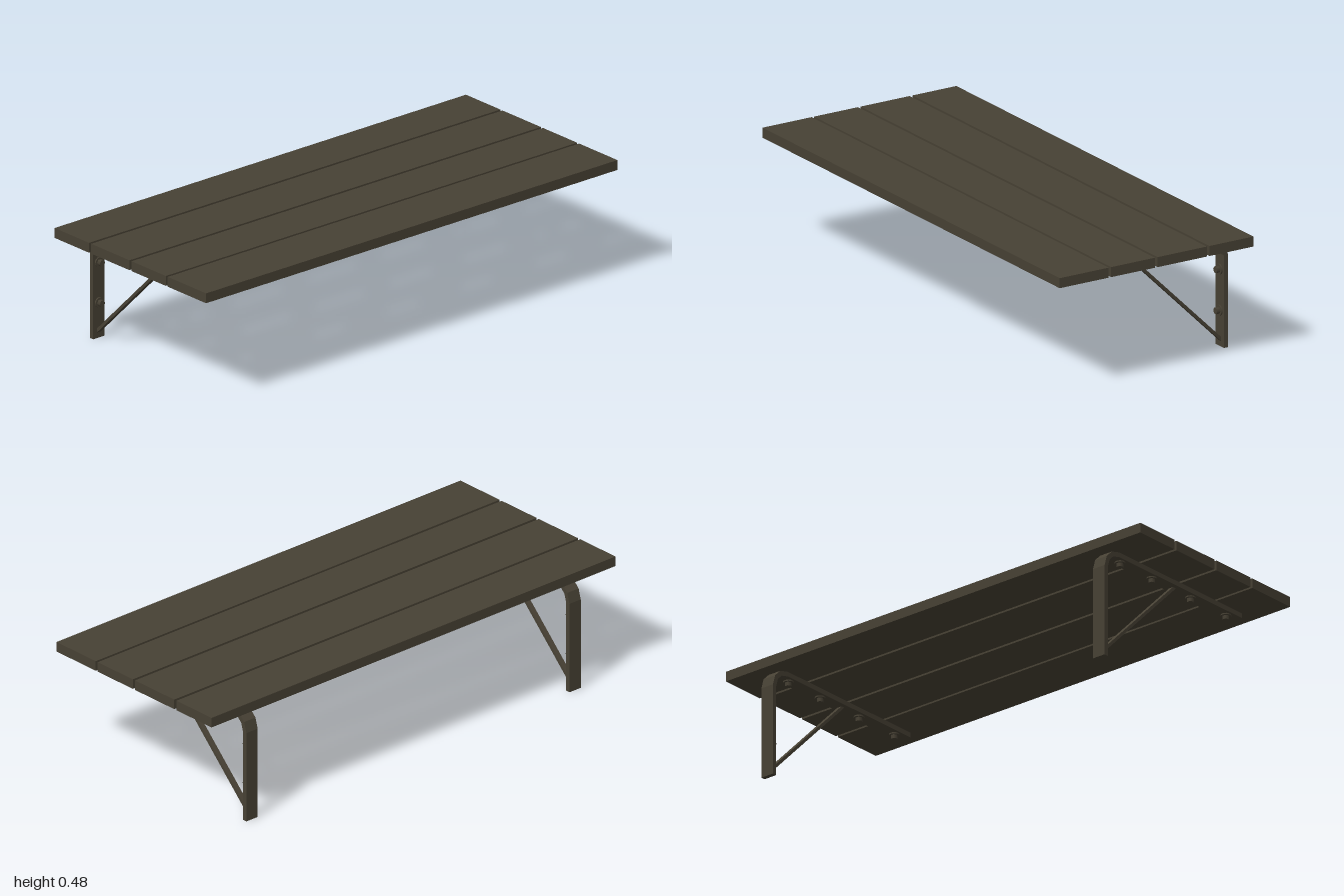
import * as THREE from 'three';

const wood = new THREE.MeshStandardMaterial({ color: 0x474134 });
wood.name = 'dark olive brown';

function add(parent, name, geometry, x = 0, y = 0, z = 0) {
  const mesh = new THREE.Mesh(geometry, wood);
  mesh.name = name;
  mesh.position.set(x, y, z);
  parent.add(mesh);
  return mesh;
}

// Side profile pushed out to a centred width
function extrudeProfile(points, width) {
  const shape = new THREE.Shape(points.map(([a, b]) => new THREE.Vector2(a, b)));
  return new THREE.ExtrudeGeometry(shape, { depth: width, bevelEnabled: false })
    .translate(0, 0, -width / 2);
}

// Hexagonal bolt head on a round washer, pointing along its local +y
function makeBolt(x, y, turn) {
  const bolt = new THREE.Group();
  bolt.name = 'bolt';
  add(bolt, 'washer', new THREE.CylinderGeometry(0.02, 0.02, 0.005, 16), 0, 0.0025, 0);
  add(bolt, 'boltHead', new THREE.CylinderGeometry(0.013, 0.013, 0.016, 6), 0, 0.012, 0);
  bolt.position.set(x, y, 0);
  bolt.rotation.z = turn;
  return bolt;
}

// Bent strap, diagonal brace and bolts; local x runs towards the front
function makeBracket() {
  const bracket = new THREE.Group();
  add(bracket, 'strap', extrudeProfile([
    [0.355, 0.442], [-0.343, 0.442], [-0.384, 0.431], [-0.413, 0.403], [-0.425, 0.362], [-0.425, 0],
    [-0.407, 0], [-0.407, 0.36], [-0.397, 0.394], [-0.376, 0.414], [-0.342, 0.423], [0.355, 0.423],
  ], 0.056));
  add(bracket, 'brace', extrudeProfile([
    [0.001, 0.424], [-0.015, 0.424], [-0.409, 0.036], [-0.409, 0.02],
  ], 0.02));
  for (const x of [0.295, 0.095, -0.125, -0.305]) bracket.add(makeBolt(x, 0.423, Math.PI));
  for (const y of [0.3, 0.14]) bracket.add(makeBolt(-0.407, y, -Math.PI / 2));
  return bracket;
}

export function createModel() {
  const model = new THREE.Group();
  model.name = 'wallBench';

  // Four seat slats, given by their back and front edges
  for (const [back, front] of [[-0.425, -0.232], [-0.22, -0.005], [0.007, 0.199], [0.21, 0.425]]) {
    add(model, 'slat', new THREE.BoxGeometry(2, 0.039, front - back), 0, 0.4615, (back + front) / 2);
  }

  // Two wall brackets
  for (const side of [-1, 1]) {
    const bracket = makeBracket();
    bracket.name = side > 0 ? 'leftBracket' : 'rightBracket';
    bracket.position.x = side * 0.8;
    bracket.rotation.y = -Math.PI / 2;
    model.add(bracket);
  }
  return model;
}
